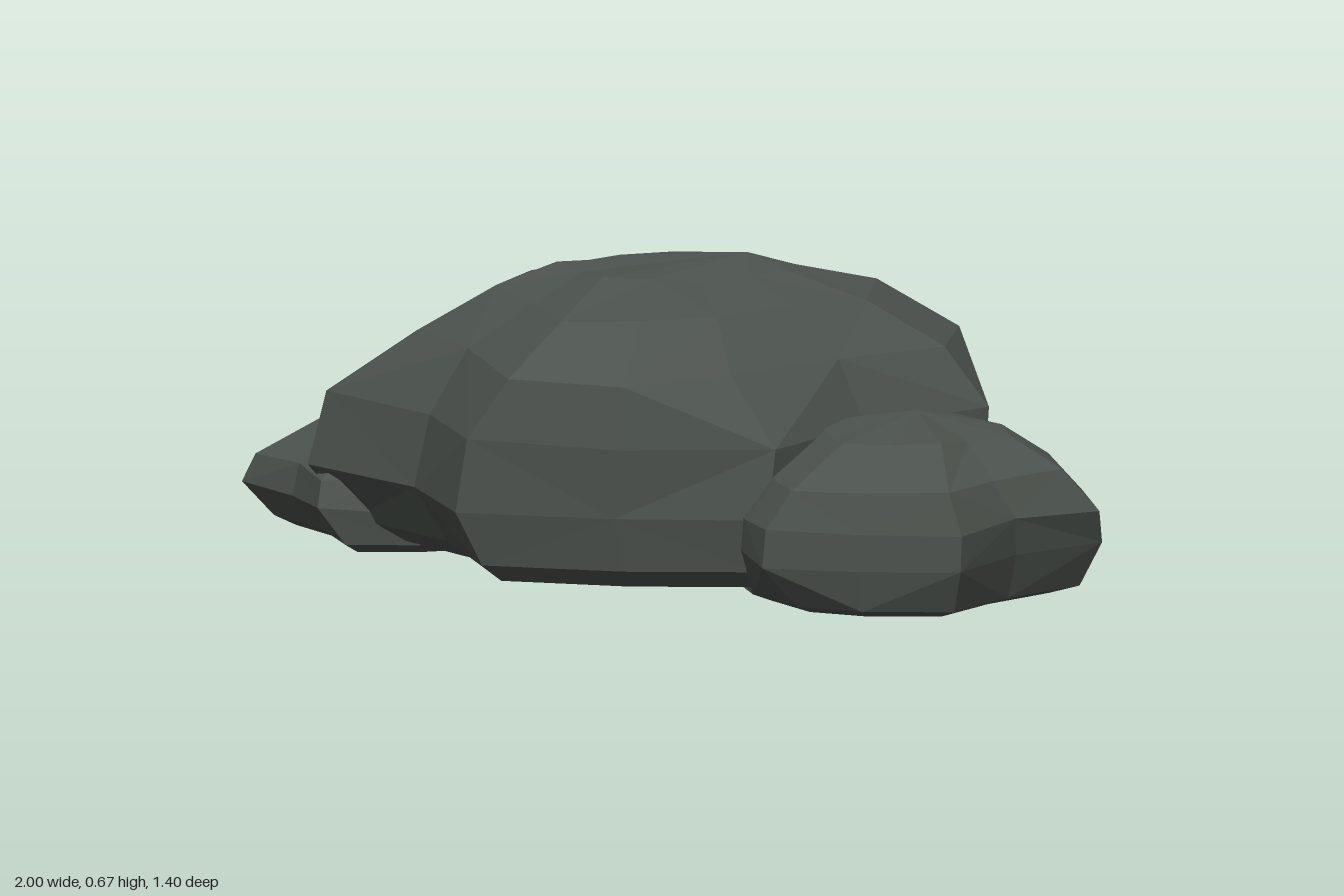
import * as THREE from 'three';

// Small seeded generator for slight facet irregularity
function seeded(seed) {
  return () => {
    seed = (seed * 16807) % 2147483647;
    return seed / 2147483647;
  };
}

// Fits a plan outline [x, z] into a rectangle
function fit(outline, xa, xb, za, zb) {
  const xs = outline.map(p => p[0]);
  const zs = outline.map(p => p[1]);
  const x0 = Math.min(...xs), x1 = Math.max(...xs);
  const z0 = Math.min(...zs), z1 = Math.max(...zs);
  return outline.map(([x, z]) => [
    xa + (x - x0) / (x1 - x0) * (xb - xa),
    za + (z - z0) / (z1 - z0) * (zb - za),
  ]);
}

// Builds a faceted boulder from levels [outline, y, xMin, xMax, zMin, zMax],
// whose outlines run clockwise, closed with a flat base and a peak.
function boulder(name, material, levels, peak, seed) {
  const rand = seeded(seed);
  const rings = levels.map(([outline, y, ...box], k) => fit(outline, ...box)
    .map(([x, z]) => [x, y + (k > 1 ? (rand() - 0.5) * 0.016 : 0), z]));
  const n = rings[0].length;

  const positions = [];
  const tri = (...corners) => corners.forEach(c => positions.push(...c));
  const [, by, xa, xb, za, zb] = levels[0];
  const base = [(xa + xb) / 2, by, (za + zb) / 2];

  for (let i = 0; i < n; i++) {
    const j = (i + 1) % n;
    tri(base, rings[0][i], rings[0][j]);
    for (let k = 0; k < rings.length - 1; k++) {
      const a = rings[k][i], b = rings[k][j];
      const c = rings[k + 1][j], d = rings[k + 1][i];
      // Alternate the diagonals for a chiselled look
      if ((i + k) % 2) { tri(b, a, d); tri(b, d, c); }
      else { tri(b, a, c); tri(a, d, c); }
    }
    const top = rings[rings.length - 1];
    tri(peak, top[j], top[i]);
  }

  const geometry = new THREE.BufferGeometry();
  geometry.setAttribute('position', new THREE.Float32BufferAttribute(positions, 3));
  geometry.computeVertexNormals();
  const mesh = new THREE.Mesh(geometry, material);
  mesh.name = name;
  return mesh;
}

export function createModel() {
  const group = new THREE.Group();
  group.name = 'rockCluster';

  const stone = new THREE.MeshStandardMaterial({ color: 0x4c524d });
  stone.name = 'darkStone';
  stone.flatShading = true;

  // Large central boulder: wide foot, shoulder, and a crown with a high back corner
  const foot = [
    [-0.06, -0.70], [0.28, -0.53], [0.59, -0.32], [0.71, -0.03], [0.47, 0.21], [0.31, 0.52],
    [-0.03, 0.56], [-0.39, 0.53], [-0.53, 0.23], [-0.81, -0.03], [-0.71, -0.38], [-0.40, -0.60]];
  const shoulder = [
    [-0.08, -0.60], [0.28, -0.50], [0.59, -0.32], [0.70, -0.03], [0.46, 0.20], [0.31, 0.50],
    [-0.03, 0.57], [-0.37, 0.53], [-0.50, 0.23], [-0.77, -0.03], [-0.68, -0.34], [-0.40, -0.50]];
  const crown = [
    [-0.06, -0.50], [0.26, -0.41], [0.59, -0.31], [0.60, -0.04], [0.40, 0.18], [0.20, 0.43],
    [-0.02, 0.55], [-0.28, 0.52], [-0.42, 0.20], [-0.57, -0.03], [-0.50, -0.28], [-0.30, -0.42]];
  group.add(boulder('mainBoulder', stone, [
    [foot, 0.03, -0.64, 0.58, -0.66, 0.50],
    [foot, 0.07, -0.71, 0.63, -0.68, 0.54],
    [foot, 0.19, -0.81, 0.69, -0.70, 0.56],
    [shoulder, 0.35, -0.77, 0.70, -0.61, 0.57],
    [crown, 0.49, -0.57, 0.60, -0.51, 0.55],
    [crown, 0.595, -0.39, 0.43, -0.35, 0.39],
    [crown, 0.645, -0.26, 0.26, -0.19, 0.14],
  ], [0.15, 0.67, -0.12], 11));

  // Medium boulder at the front, its inner side tucked under the main one
  const front = [
    [0.60, -0.19], [0.93, 0.07], [1.00, 0.28], [0.84, 0.48], [0.75, 0.69], [0.52, 0.70],
    [0.31, 0.69], [0.24, 0.53], [0.13, 0.15], [0.36, -0.08]];
  const frontBase = [
    [0.60, -0.19], [0.89, 0.07], [0.95, 0.28], [0.82, 0.46], [0.73, 0.65], [0.53, 0.68],
    [0.38, 0.64], [0.26, 0.50], [0.12, 0.15], [0.36, -0.08]];
  group.add(boulder('frontBoulder', stone, [
    [frontBase, 0.00, 0.18, 0.88, -0.14, 0.62],
    [frontBase, 0.02, 0.12, 0.95, -0.19, 0.68],
    [front, 0.12, 0.13, 1.00, -0.19, 0.70],
    [front, 0.20, 0.14, 1.00, -0.11, 0.70],
    [front, 0.29, 0.23, 0.92, -0.03, 0.68],
    [front, 0.36, 0.37, 0.80, 0.08, 0.50],
  ], [0.58, 0.39, 0.22], 23));

  // Low boulder at the back
  const back = [
    [-0.77, -0.67], [-0.56, -0.67], [-0.43, -0.58], [-0.20, -0.32], [-0.30, -0.10],
    [-0.60, 0.03], [-0.77, 0.05], [-0.86, -0.15], [-1.00, -0.31]];
  group.add(boulder('backBoulder', stone, [
    [back, 0.00, -0.88, -0.24, -0.62, 0.00],
    [back, 0.02, -0.93, -0.19, -0.66, 0.03],
    [back, 0.10, -1.00, -0.22, -0.67, 0.05],
    [back, 0.16, -0.97, -0.28, -0.65, 0.03],
    [back, 0.25, -0.81, -0.40, -0.54, -0.10],
  ], [-0.60, 0.29, -0.32], 37));

  return group;
}
